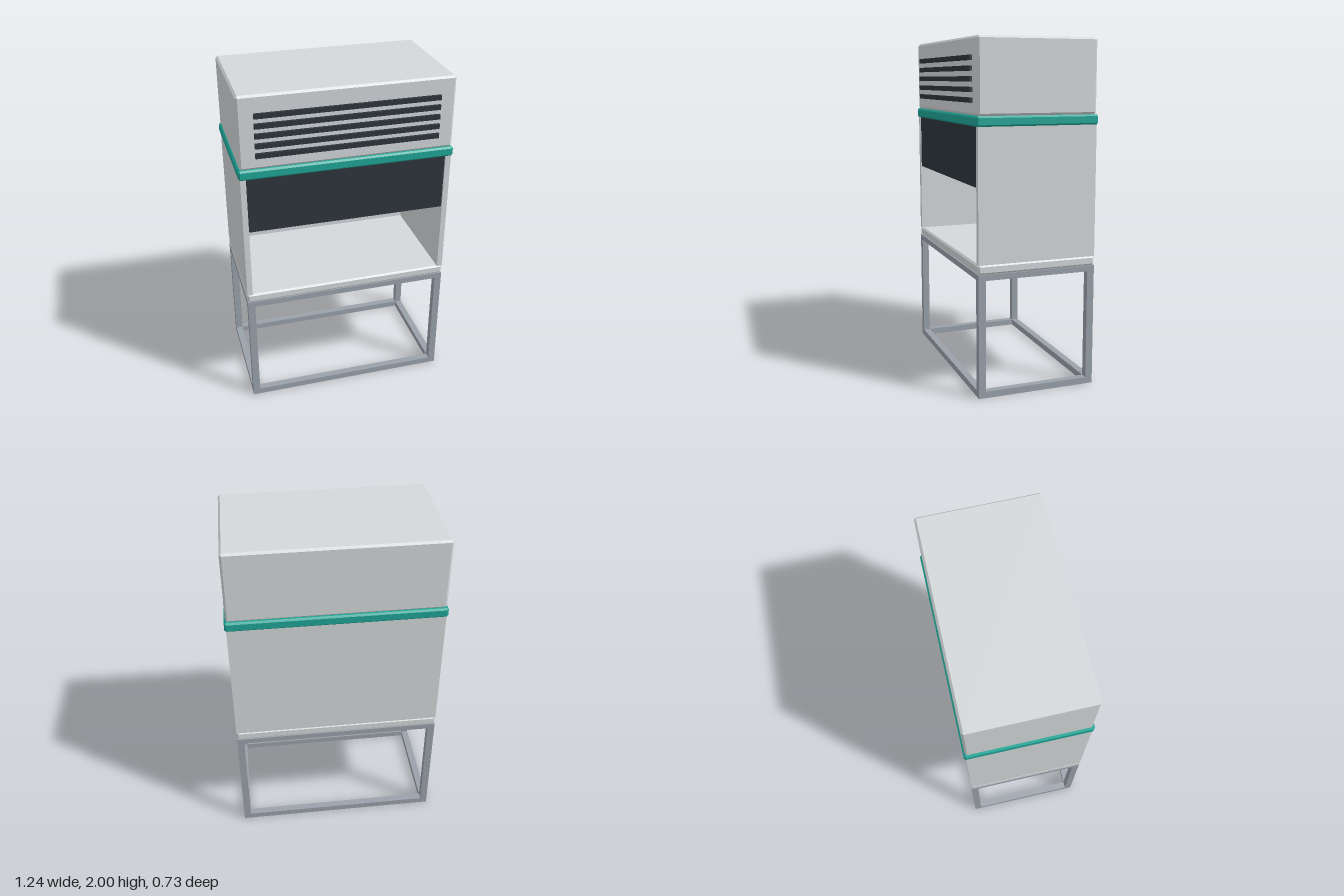
import * as THREE from 'three';
import { ConvexGeometry } from 'three/addons/geometries/ConvexGeometry.js';

const W = 1.226, D = 0.704, ZC = -0.004; // cabinet width, depth and centre in z
const FRONT = ZC + D / 2, BACK = ZC - D / 2;

// Box with every edge cut flat by c
function chamferBox(w, h, d, c) {
  const points = [];
  for (const sx of [-1, 1]) for (const sy of [-1, 1]) for (const sz of [-1, 1]) {
    const x = sx * w / 2, y = sy * h / 2, z = sz * d / 2;
    points.push(
      new THREE.Vector3(x, y - sy * c, z - sz * c),
      new THREE.Vector3(x - sx * c, y, z - sz * c),
      new THREE.Vector3(x - sx * c, y - sy * c, z));
  }
  return new ConvexGeometry(points);
}

export function createModel() {
  const model = new THREE.Group();
  model.name = 'laminarFlowCabinet';
  const mat = (name, color) => {
    const m = new THREE.MeshStandardMaterial({ color });
    m.name = name;
    return m;
  };
  const panel = mat('light grey panel', 0xd3d7d9);
  const teal = mat('teal trim', 0x1fa597);
  const dark = mat('dark slate', 0x2d353c);
  const steel = mat('steel frame', 0x9aa1aa);

  const add = (name, geometry, material, x, y, z, parent = model) => {
    const mesh = new THREE.Mesh(geometry, material);
    mesh.name = name;
    mesh.position.set(x, y, z);
    parent.add(mesh);
    return mesh;
  };
  const box = (w, h, d) => new THREE.BoxGeometry(w, h, d);

  // Stand: four square legs joined by top and bottom rails
  const stand = new THREE.Group();
  stand.name = 'stand';
  model.add(stand);
  const t = 0.042, lx = (W - t) / 2, lz = (D - t) / 2;
  for (const sx of [-1, 1]) for (const sz of [-1, 1]) {
    add('leg', box(t, 0.712, t), steel, sx * lx, 0.356, ZC + sz * lz, stand);
  }
  for (const y of [0.019, 0.695]) {
    const h = y < 0.1 ? 0.038 : 0.034;
    for (const s of [-1, 1]) {
      add('longRail', box(W - 2 * t, h, t), steel, 0, y, ZC + s * lz, stand);
      add('shortRail', box(t, h, D - 2 * t), steel, s * lx, y, ZC, stand);
    }
  }

  // Work surface and the three walls of the open chamber
  add('worktop', chamferBox(W, 0.054, D, 0.01), panel, 0, 0.739, ZC);
  const wall = 0.032, y0 = 0.766, y1 = 1.524, wallH = y1 - y0, wallY = (y0 + y1) / 2;
  for (const s of [-1, 1]) {
    add('sideWall', box(wall, wallH, D), panel, s * (W - wall) / 2, wallY, ZC);
  }
  add('backWall', box(W - 2 * wall, wallH, wall), panel, 0, wallY, BACK + wall / 2);

  // Sash hanging behind the front edge of the side walls
  add('sash', box(1.156, 0.332, 0.014), dark, 0, 1.356, FRONT - 0.011);

  // Coloured band and blower housing
  add('trimBand', chamferBox(1.244, 0.058, 0.722, 0.01), teal, 0, 1.549, ZC);
  add('blowerHousing', chamferBox(W, 0.422, D, 0.012), panel, 0, 1.789, ZC);

  // Vent slats on the housing
  for (let i = 0; i < 5; i++) {
    add('ventSlat', box(1.046, 0.028, 0.016), dark, 0, 1.66 + i * 0.0567, FRONT + 0.008);
  }
  return model;
}
